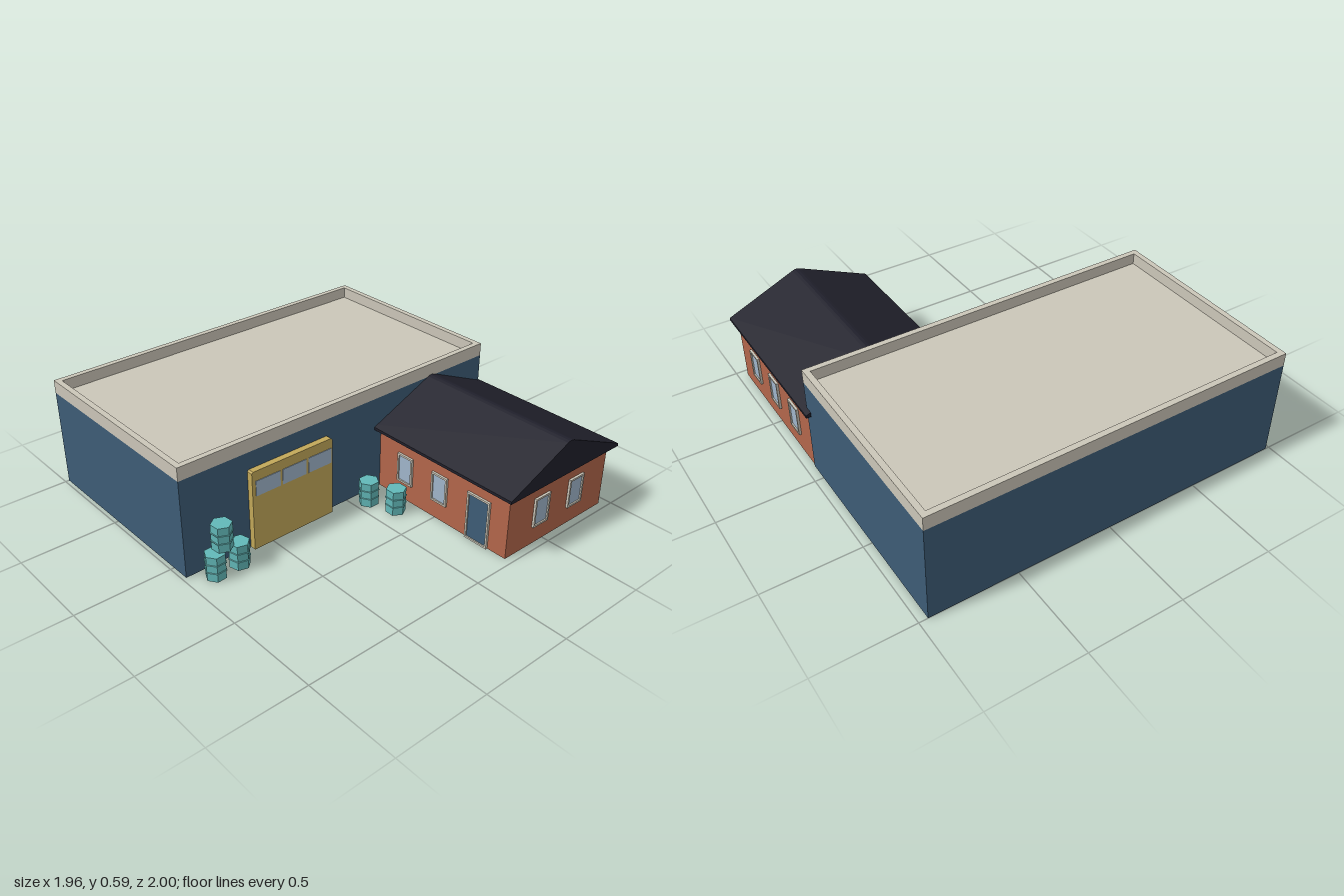
import * as THREE from 'three';

const material = (name, color) => {
  const m = new THREE.MeshStandardMaterial({ color });
  m.name = name;
  return m;
};

export function createModel() {
  const blue = material('blue cladding', 0x3d5c76);
  const stone = material('pale stone', 0xcbc6b8);
  const brick = material('red brick', 0xb2664b);
  const slate = material('dark roof', 0x20202b);
  const glass = material('window glass', 0xa0b5ca);
  const ochre = material('ochre door', 0xc2a859);
  const teal = material('teal drum', 0x62b8b8);
  const model = new THREE.Group();

  const add = (name, geometry, mat, parent = model) => {
    const mesh = new THREE.Mesh(geometry, mat);
    mesh.name = name;
    parent.add(mesh);
    return mesh;
  };
  // Box given by its lower and upper limits on each axis
  const box = (name, mat, [x0, x1], [y0, y1], [z0, z1], parent) => {
    const mesh = add(name, new THREE.BoxGeometry(x1 - x0, y1 - y0, z1 - z0), mat, parent);
    mesh.position.set((x0 + x1) / 2, (y0 + y1) / 2, (z0 + z1) / 2);
    return mesh;
  };
  const polygon = (points) => new THREE.Shape(points.map(([x, y]) => new THREE.Vector2(x, y)));
  const rect = (x0, y0, x1, y1) => polygon([[x0, y0], [x1, y0], [x1, y1], [x0, y1]]);
  const extrude = (shape, depth) => new THREE.ExtrudeGeometry(shape, { depth, bevelEnabled: false });

  // Warehouse hall with a parapet around its flat roof
  box('warehouseWalls', blue, [-0.98, 0.955], [0, 0.52], [-1, 0.1]);
  box('warehouseRoofDeck', stone, [-0.96, 0.935], [0.515, 0.53], [-0.98, 0.08]);
  const rim = rect(-0.98, -0.1, 0.955, 1);
  rim.holes.push(rect(-0.95, -0.07, 0.925, 0.97));
  const parapet = add('parapet', extrude(rim, 0.07), stone);
  parapet.rotation.x = -Math.PI / 2;
  parapet.position.y = 0.52;

  // Loading door with three panes
  const gate = new THREE.Group();
  gate.name = 'loadingDoor';
  model.add(gate);
  const panel = polygon([[-0.61, 0], [-0.125, 0], [-0.125, 0.422], [-0.133, 0.43], [-0.602, 0.43], [-0.61, 0.422]]);
  add('doorPanel', extrude(panel, 0.033), ochre, gate).position.z = 0.1;
  for (let i = 0; i < 3; i++) {
    const x = -0.59 + i * 0.157;
    box('doorPane', glass, [x, x + 0.143], [0.295, 0.377], [0.13, 0.136], gate);
  }

  // Office wing with a gabled roof
  box('officeWalls', brick, [0.23, 0.95], [0, 0.35], [0.09, 0.96]);
  const gable = polygon([
    [0.185, 0.345], [0.98, 0.345], [0.98, 0.36], [0.605, 0.523],
    [0.59, 0.528], [0.575, 0.528], [0.56, 0.523], [0.185, 0.36],
  ]);
  add('officeRoof', extrude(gable, 0.945), slate).position.z = 0.055;

  // Framed opening facing local +z
  const framed = (name, w, h, fill, x, y, z, turn) => {
    const group = new THREE.Group();
    group.name = name;
    const frame = rect(-w / 2, -h / 2, w / 2, h / 2);
    const b = 0.01;
    frame.holes.push(rect(-w / 2 + b, -h / 2 + b, w / 2 - b, h / 2 - b));
    add('frame', extrude(frame, 0.012), stone, group);
    box('infill', fill, [-w / 2 + b, w / 2 - b], [-h / 2 + b, h / 2 - b], [0, 0.005], group);
    group.position.set(x, y, z);
    group.rotation.y = turn;
    model.add(group);
  };
  for (const x of [0.463, 0.718]) framed('frontWindow', 0.107, 0.16, glass, x, 0.18, 0.96, 0);
  for (const z of [0.288, 0.525, 0.764]) framed('leftSideWindow', 0.102, 0.16, glass, 0.95, 0.18, z, Math.PI / 2);
  for (const z of [0.288, 0.525]) framed('rightSideWindow', 0.102, 0.16, glass, 0.23, 0.18, z, -Math.PI / 2);
  framed('officeDoor', 0.14, 0.26, blue, 0.23, 0.13, 0.78, -Math.PI / 2);

  // Six-sided drums with two raised hoops
  const profile = [
    [0, 0], [0.052, 0], [0.052, 0.041], [0.056, 0.043], [0.056, 0.047], [0.052, 0.049],
    [0.052, 0.084], [0.056, 0.086], [0.056, 0.09], [0.052, 0.092], [0.052, 0.133], [0, 0.133],
  ].map(([r, y]) => new THREE.Vector2(r, y));
  const drumGeometry = new THREE.LatheGeometry(profile, 6).toNonIndexed();
  drumGeometry.computeVertexNormals();
  const drums = [
    [-0.868, 0, 0.178, 0.6], [-0.732, 0, 0.178, 0.25], [-0.815, 0.133, 0.167, 0.1],
    [0.073, 0, 0.186, Math.PI / 6], [0.125, 0, 0.33, 0],
  ];
  for (const [x, y, z, turn] of drums) {
    const drum = add('drum', drumGeometry, teal);
    drum.position.set(x, y, z);
    drum.rotation.y = turn;
  }

  return model;
}
